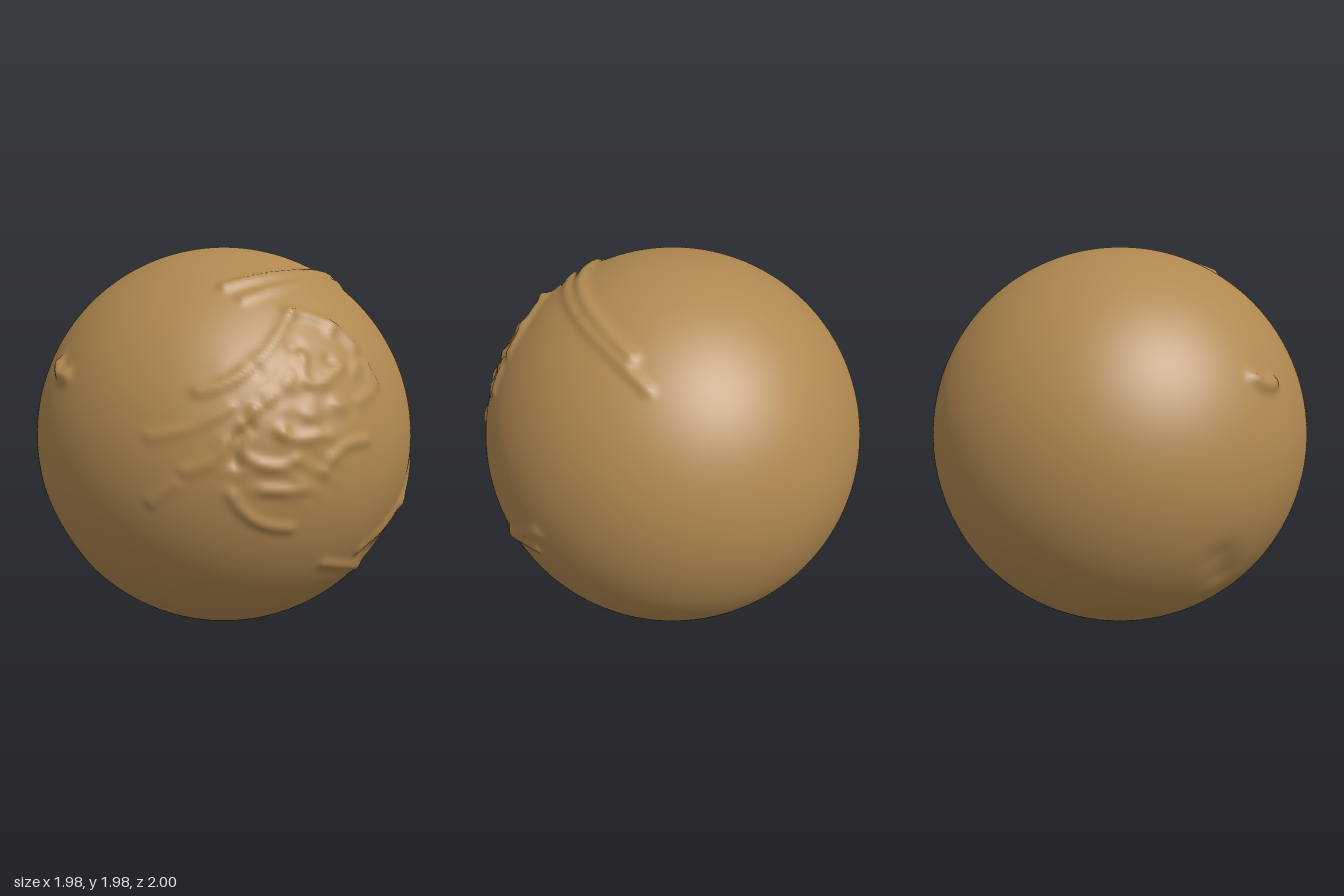
import * as THREE from 'three';
import { mergeVertices } from 'three/addons/utils/BufferGeometryUtils.js';

const R = 0.992;

// Lift a spot on the front, top or right side onto the unit sphere.
const depth = (a, b) => Math.sqrt(Math.max(0, 1 - a * a - b * b));
const project = {
  front: (x, y) => new THREE.Vector3(x, y - 1, depth(x, y - 1)).normalize(),
  top: (x, z) => new THREE.Vector3(x, depth(x, z), z).normalize(),
  right: (z, y) => new THREE.Vector3(depth(z, y - 1), y - 1, z).normalize(),
};

// A bowed line of relief from (a, b) to (c, d); a negative height carves a groove.
function ridge(side, a, b, c, d, bend = 0, height = 0.015, width = 0.03) {
  const start = new THREE.Vector2(a, b), end = new THREE.Vector2(c, d);
  const control = new THREE.Vector2((a + c) / 2 - 2 * bend * (d - b), (b + d) / 2 + 2 * bend * (c - a));
  const line = new THREE.QuadraticBezierCurve(start, control, end);
  const pts = line.getPoints(6).map((q) => project[side](q.x, q.y));
  return { pts, height, width };
}

// Small seeded generator for the scattered knolls
function seeded(seed) {
  return () => (seed = (seed * 16807) % 2147483647) / 2147483647;
}

function makeRelief() {
  const relief = [
    // northern ranges, curling over the top
    ridge('top', 0.1, 0.53, 0.53, -0.35, 0.15, 0.022, 0.035),
    ridge('top', 0.2, 0.58, 0.55, -0.5, 0.15),
    // highlands
    ridge('front', 0.42, 1.73, 0.72, 1.55, 0.1, 0.02, 0.035),
    ridge('front', 0.42, 1.72, 0.05, 1.4, 0.15),
    ridge('front', 0.5, 1.54, 0.67, 1.48, -0.6),
    ridge('front', 0.78, 1.46, 0.83, 1.37, 0, 0.018),
    // inlet and central coast
    ridge('front', 0.31, 1.32, 0.27, 1.25, 0, 0.018),
    ridge('front', 0.29, 1.24, 0.24, 1.08, -0.2, -0.022, 0.025),
    ridge('front', 0.3, 1.1, 0.5, 1.08, -0.15),
    ridge('front', 0.42, 1.22, 0.6, 1.19, -0.15),
    ridge('front', 0.63, 1.02, 0.8, 1.13, 0.2),
    // southern crescent
    ridge('front', 0.22, 0.93, 0.47, 0.75, -0.15),
    ridge('front', 0.36, 0.95, 0.53, 0.94),
    // western foothills
    ridge('front', -0.17, 1.19, 0.2, 1.33, -0.06, 0.01),
    ridge('front', -0.16, 0.88, -0.04, 0.98, 0, 0.01),
    ridge('front', 0, 1.04, 0.2, 1.17, -0.1, 0.012),
    // lone island and the basin below it
    ridge('front', -0.74, 1.44, -0.67, 1.4, -0.3, 0.032, 0.035),
    ridge('front', -0.84, 0.57, -0.76, 0.46, 0, -0.02, 0.1),
    // eastern ridges and valley
    ridge('right', -0.15, 0.87, 0.42, 0.53, 0, 0.016, 0.035),
    ridge('right', 0.12, 0.7, -0.12, 0.74),
    ridge('right', 0.62, 0.51, 0.2, 0.36),
    ridge('right', 0.35, 0.5, 0.15, 0.47, 0, -0.014, 0.07),
  ];
  // knolls and hollows scattered over the highlands
  const random = seeded(11);
  for (let i = 0; i < 14; i++) {
    const angle = i * 2.4, reach = 0.29 * Math.sqrt((i + 0.5) / 14);
    const x = 0.53 + reach * Math.cos(angle), y = 1.4 + reach * Math.sin(angle);
    const dx = 0.08 * (random() - 0.5), dy = 0.08 * (random() - 0.5);
    relief.push(ridge('front', x, y, x + dx, y + dy, 0, i % 3 ? 0.012 : -0.01));
  }
  return relief;
}

// Distance on the unit sphere from a point to a ridge line
const segment = new THREE.Line3(), near = new THREE.Vector3();
function distanceTo(pts, p) {
  let best = Infinity;
  for (let i = 0; i < pts.length - 1; i++) {
    segment.set(pts[i], pts[i + 1]).closestPointToPoint(p, true, near);
    best = Math.min(best, near.normalize().distanceTo(p));
  }
  return best;
}

function elevation(p, relief, land) {
  let h = 0;
  for (const { pts, height, width } of relief) {
    if (pts[0].distanceTo(p) > 1.4) continue;
    const d = distanceTo(pts, p) / width;
    h += height * Math.exp(-d * d);
  }
  // gentle rolling ground under the land
  const mask = 1 - THREE.MathUtils.smoothstep(land.distanceTo(p), 0.25, 0.5);
  const roll = Math.sin(23 * p.x + 4 * Math.sin(9 * p.y)) * Math.sin(27 * p.y + 3 * Math.sin(11 * p.x));
  return h + mask * (0.003 + 0.004 * roll);
}

export function createModel() {
  const group = new THREE.Group();
  group.name = 'reliefGlobe';
  const clay = new THREE.MeshStandardMaterial({ color: 0xb08850 });
  clay.name = 'ochre clay';

  // sphere pushed in and out by the relief
  const relief = makeRelief(), land = project.front(0.45, 1.25);
  let geo = new THREE.SphereGeometry(1, 300, 180);
  geo.deleteAttribute('uv');
  geo.deleteAttribute('normal');
  geo = mergeVertices(geo, 1e-5);
  const pos = geo.attributes.position, p = new THREE.Vector3();
  for (let i = 0; i < pos.count; i++) {
    p.fromBufferAttribute(pos, i).normalize();
    p.multiplyScalar(R + elevation(p, relief, land));
    pos.setXYZ(i, p.x, p.y + R, p.z);
  }
  geo.computeVertexNormals();

  const globe = new THREE.Mesh(geo, clay);
  globe.name = 'globe';
  group.add(globe);
  return group;
}
